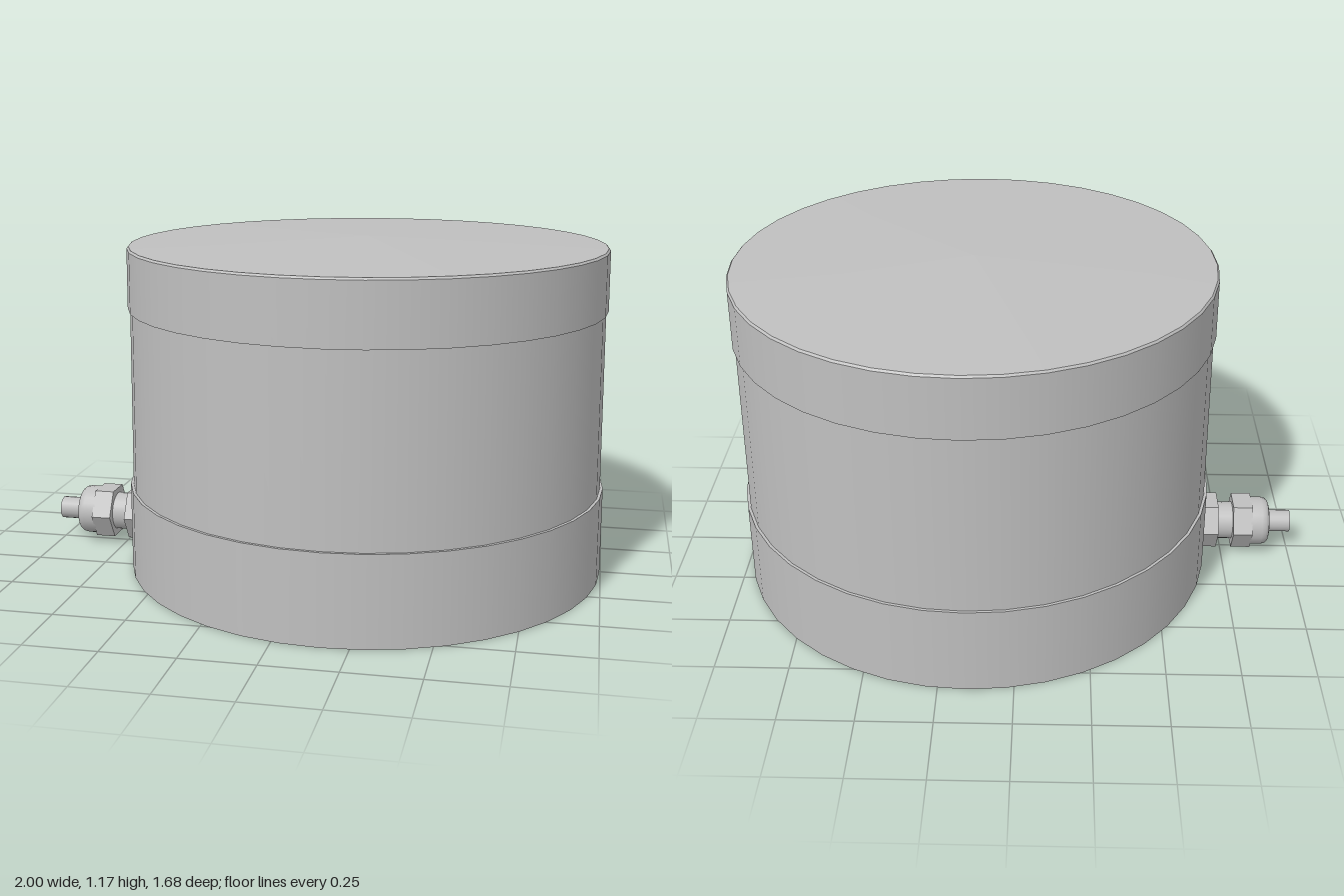
import * as THREE from 'three';
import { mergeGeometries } from 'three/addons/utils/BufferGeometryUtils.js';

const SIDES = 40;

export function createModel() {
  const metal = new THREE.MeshStandardMaterial({ color: 0xbfbfbf });
  metal.name = 'grey metal';

  const add = (parent, name, geometry) => {
    const mesh = new THREE.Mesh(geometry, metal);
    mesh.name = name;
    parent.add(mesh);
    return mesh;
  };

  // Turned part with a sharp edge at every profile point
  const turned = (points, sides = SIDES) => mergeGeometries(
    points.slice(1).map((p, i) => new THREE.LatheGeometry(
      [new THREE.Vector2(...points[i]), new THREE.Vector2(...p)], sides)));

  // Flat-sided hexagon standing on y0
  const hexagon = (r, y0, y1) => {
    const g = new THREE.CylinderGeometry(r, r, y1 - y0, 6).toNonIndexed();
    g.translate(0, (y0 + y1) / 2, 0);
    g.computeVertexNormals();
    return g;
  };

  const model = new THREE.Group();
  model.name = 'loadCell';

  // Housing: base ring, middle wall and cap with a shallow cone on top
  const housing = new THREE.Group();
  housing.name = 'housing';
  housing.position.x = 0.157;
  model.add(housing);
  add(housing, 'baseRing', turned([[0.84, 0], [0.838, 0.308], [0.82, 0.308]]));
  add(housing, 'middleWall', turned([[0.828, 0.308], [0.821, 0.935]]));
  add(housing, 'cap', turned([[0.815, 0.933], [0.829, 0.933], [0.827, 1.138], [0.821, 1.145], [0, 1.17]]));

  // Underside with one centre hole and two mounting holes
  const holes = [[0, 0.037], [0.73, 0.028], [-0.73, 0.028]];
  const disc = new THREE.Shape().absarc(0, 0, 0.84, 0, Math.PI * 2);
  for (const [z, r] of holes) {
    disc.holes.push(new THREE.Path().absarc(0, z, r, 0, Math.PI * 2, true));
    // Inward-facing blind bore
    add(housing, 'boltHole', turned([[0, 0.2], [r, 0.2], [r, 0]], 24)).position.z = z;
  }
  add(housing, 'underside', new THREE.ShapeGeometry(disc, SIDES).rotateX(Math.PI / 2));

  // Cable gland, built upright and laid out towards -x
  const gland = new THREE.Group();
  gland.name = 'cableGland';
  gland.position.set(-0.66, 0.114, 0);
  gland.rotation.z = Math.PI / 2;
  model.add(gland);
  add(gland, 'flangeNut', hexagon(0.1, -0.02, 0.07));
  add(gland, 'neck', turned([[0.068, 0.07], [0.068, 0.125]], 24));
  add(gland, 'clampNut', hexagon(0.1, 0.125, 0.195));
  const dome = [[0.088, 0.19], [0.088, 0.232], [0.085, 0.246], [0.077, 0.256], [0.065, 0.26], [0.03, 0.26]];
  add(gland, 'domeNut', new THREE.LatheGeometry(dome.map((p) => new THREE.Vector2(...p)), 24));
  add(gland, 'cable', turned([[0.04, 0.25], [0.04, 0.34], [0, 0.34]], 20));

  return model;
}
